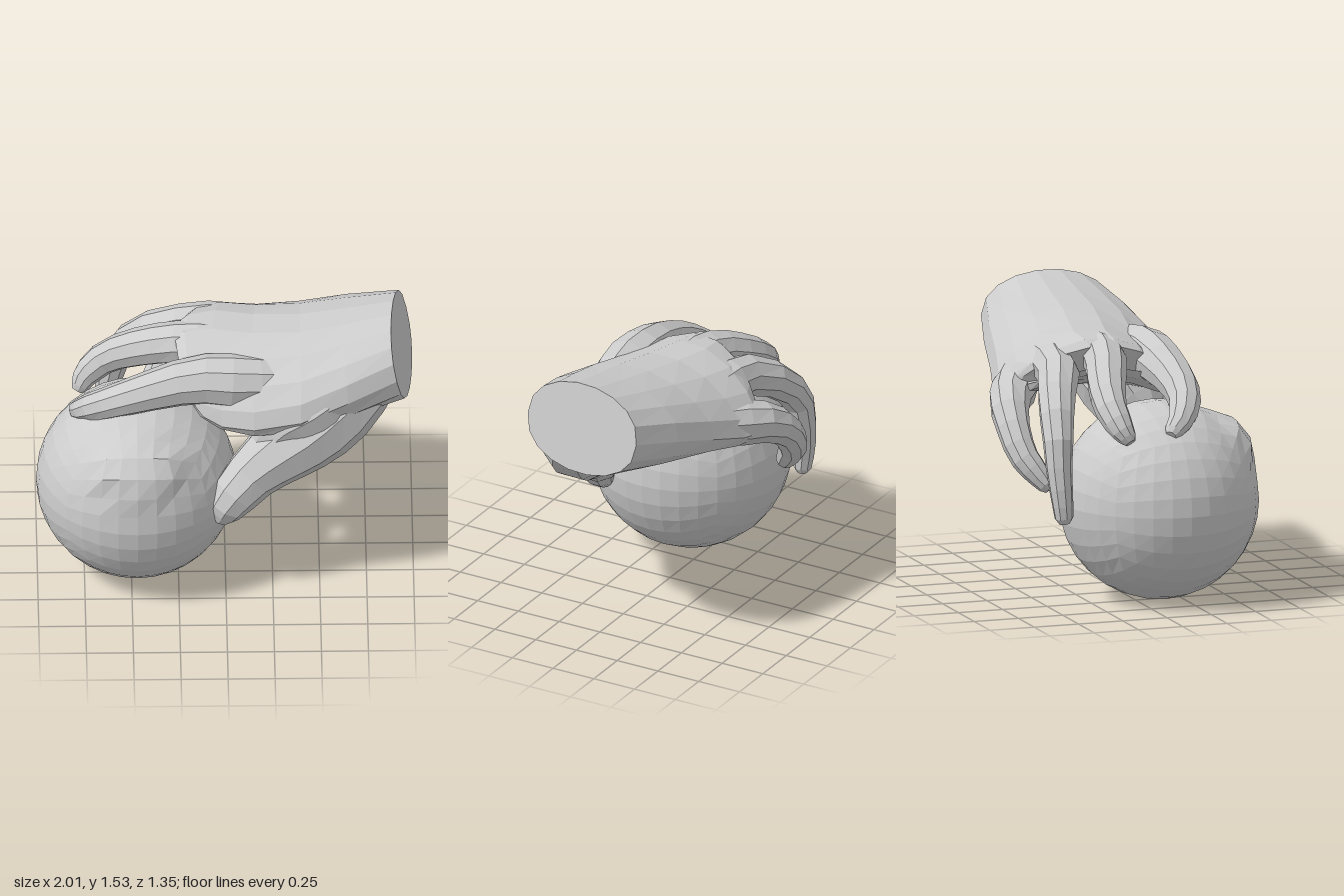
import * as THREE from 'three';

const material = new THREE.MeshStandardMaterial({ color: 0xcccccc, flatShading: true });
const V = (x, y, z) => new THREE.Vector3(x, y, z);

// Closed skin over a series of rings, with a fan at each end
function loft(rings) {
  const n = rings[0].length, pos = [], idx = [];
  rings.forEach(r => r.forEach(p => pos.push(p.x, p.y, p.z)));
  for (let i = 0; i < rings.length - 1; i++) {
    for (let j = 0; j < n; j++) {
      const a = i * n + j, b = i * n + (j + 1) % n;
      idx.push(a, b, a + n, b, b + n, a + n);
    }
  }
  [rings[0], rings[rings.length - 1]].forEach((ring, end) => {
    const c = ring.reduce((s, p) => s.add(p), V(0, 0, 0)).divideScalar(n);
    const ci = pos.length / 3, base = end ? (rings.length - 1) * n : 0;
    pos.push(c.x, c.y, c.z);
    for (let j = 0; j < n; j++) {
      const a = base + j, b = base + (j + 1) % n;
      idx.push(ci, end ? a : b, end ? b : a);
    }
  });
  const g = new THREE.BufferGeometry();
  g.setAttribute('position', new THREE.Float32BufferAttribute(pos, 3));
  g.setIndex(idx);
  g.computeVertexNormals();
  return g;
}

// Tapered digit along points [x, y, z, radius], with a rounded tip
function digit(points, sides = 9, steps = 10) {
  const curve = new THREE.CatmullRomCurve3(points.map(p => V(p[0], p[1], p[2])));
  const rings = [];
  const addRing = (c, t, r) => {
    const A = t.clone().cross(V(0, 0, 1)).normalize();
    const B = t.clone().cross(A);
    rings.push(Array.from({ length: sides }, (_, j) => {
      const a = (j / sides) * Math.PI * 2;
      return c.clone().addScaledVector(A, r * Math.cos(a)).addScaledVector(B, r * Math.sin(a));
    }));
  };
  for (let i = 0; i <= steps; i++) {
    const u = i / steps, f = u * (points.length - 1);
    const k = Math.min(Math.floor(f), points.length - 2);
    const r = THREE.MathUtils.lerp(points[k][3], points[k + 1][3], f - k);
    addRing(curve.getPoint(u), curve.getTangent(u), r);
  }
  const last = points[points.length - 1], t = curve.getTangent(1);
  addRing(curve.getPoint(1).addScaledVector(t, last[3] * 0.6), t, last[3] * 0.6);
  return loft(rings);
}

// Ball rounded from a divided cube, with a blunt ridge across its upper front
function ballGeometry() {
  const g = new THREE.BoxGeometry(2, 2, 2, 8, 8, 8);
  const p = g.attributes.position, v = V(0, 0, 0), ridge = V(0, 0.62, 0.78).normalize();
  for (let i = 0; i < p.count; i++) {
    v.fromBufferAttribute(p, i);
    v.set(...v.toArray().map(c => Math.tan(c * Math.PI / 4))).normalize();
    const d = V(v.x * 0.6, v.y, v.z).normalize().dot(ridge);
    v.multiplyScalar(0.535 * (1 + 0.1 * THREE.MathUtils.smoothstep(d, 0.93, 0.99)));
    p.setXYZ(i, v.x, v.y, v.z);
  }
  g.translate(-0.472, 0.535, 0.14);
  g.computeVertexNormals();
  return g;
}

// Wrist to knuckles:
// [x, zMin, zMax, top, thickness, edge droop, end bulge, top skew, side skew, palm hollow]
function palmGeometry() {
  const sections = [
    [0.94, -0.35, 0.35, 1.53, 0.48, 0, 0, 0.05, 0.03, 0],
    [0.66, -0.44, 0.43, 1.475, 0.48, 0.03, 0, 0.02, 0.01, 0],
    [0.4, -0.5, 0.48, 1.43, 0.45, 0.09, 0, 0, 0, 0.02],
    [0.17, -0.56, 0.45, 1.4, 0.4, 0.15, 0.02, 0, 0.02, 0.06],
    [0.02, -0.6, 0.39, 1.395, 0.32, 0.2, 0.08, 0, 0.04, 0.05],
    [-0.06, -0.55, 0.35, 1.375, 0.22, 0.19, 0.15, 0, 0.06, 0.02],
    [-0.1, -0.5, 0.32, 1.34, 0.12, 0.16, 0.16, 0, 0.06, 0],
  ];
  const n = 18;
  return loft(sections.map(([x, z0, z1, top, th, droop, bulge, skewT, skewS, hollow]) =>
    Array.from({ length: n }, (_, j) => {
      const a = (j / n) * Math.PI * 2;
      const u = Math.cos(a);
      const v = Math.sign(Math.sin(a)) * Math.abs(Math.sin(a)) ** 0.85;
      const lift = v < 0 ? hollow * (1 - u * u) : 0;
      return V(
        x - bulge * (1 - u * u) - skewT * v - skewS * u,
        top - th / 2 - droop * u * u + (th / 2) * v + lift,
        (z0 + z1) / 2 + ((z1 - z0) / 2) * u);
    })));
}

const digits = {
  thumb: [[0.8, 1.22, 0.12, 0.16], [0.64, 1.08, 0.21, 0.21], [0.47, 0.95, 0.27, 0.22],
    [0.31, 0.845, 0.32, 0.19], [0.16, 0.73, 0.36, 0.15], [0.03, 0.59, 0.42, 0.12],
    [-0.01, 0.51, 0.42, 0.09]],
  thumbWeb: [[0.68, 1.22, 0.16, 0.18], [0.48, 1.1, 0.25, 0.23], [0.34, 1.01, 0.28, 0.2],
    [0.25, 0.92, 0.31, 0.14]],
  indexFinger: [[0.32, 1.2, 0.2, 0.12], [0.08, 1.22, 0.23, 0.15], [-0.15, 1.23, 0.23, 0.135],
    [-0.4, 1.175, 0.25, 0.11], [-0.6, 1.1, 0.24, 0.09], [-0.73, 1.02, 0.18, 0.075],
    [-0.79, 0.96, 0.11, 0.05]],
  middleFinger: [[0.15, 1.26, -0.05, 0.09], [-0.1, 1.27, -0.06, 0.12], [-0.28, 1.25, -0.09, 0.115],
    [-0.46, 1.18, -0.15, 0.105], [-0.63, 1.09, -0.19, 0.09], [-0.73, 1.0, -0.17, 0.075],
    [-0.77, 0.94, -0.14, 0.05]],
  ringFinger: [[0.2, 1.2, -0.28, 0.1], [0, 1.22, -0.31, 0.12], [-0.2, 1.2, -0.33, 0.115],
    [-0.42, 1.09, -0.42, 0.1], [-0.56, 0.94, -0.46, 0.085], [-0.61, 0.75, -0.47, 0.07],
    [-0.63, 0.6, -0.46, 0.06], [-0.63, 0.5, -0.45, 0.05]],
  littleFinger: [[0.3, 1.12, -0.36, 0.1], [0.1, 1.08, -0.46, 0.13], [-0.07, 1.03, -0.56, 0.11],
    [-0.22, 0.92, -0.59, 0.09], [-0.32, 0.79, -0.57, 0.08], [-0.37, 0.71, -0.52, 0.07],
    [-0.41, 0.64, -0.47, 0.05]],
};

export function createModel() {
  const model = new THREE.Group();
  model.name = 'handHoldingBall';
  const add = (parent, name, geometry) => {
    const mesh = new THREE.Mesh(geometry, material);
    mesh.name = name;
    parent.add(mesh);
  };
  add(model, 'ball', ballGeometry());

  const hand = new THREE.Group();
  hand.name = 'hand';
  add(hand, 'palmAndWrist', palmGeometry());
  for (const [name, points] of Object.entries(digits)) add(hand, name, digit(points));
  model.add(hand);
  return model;
}
